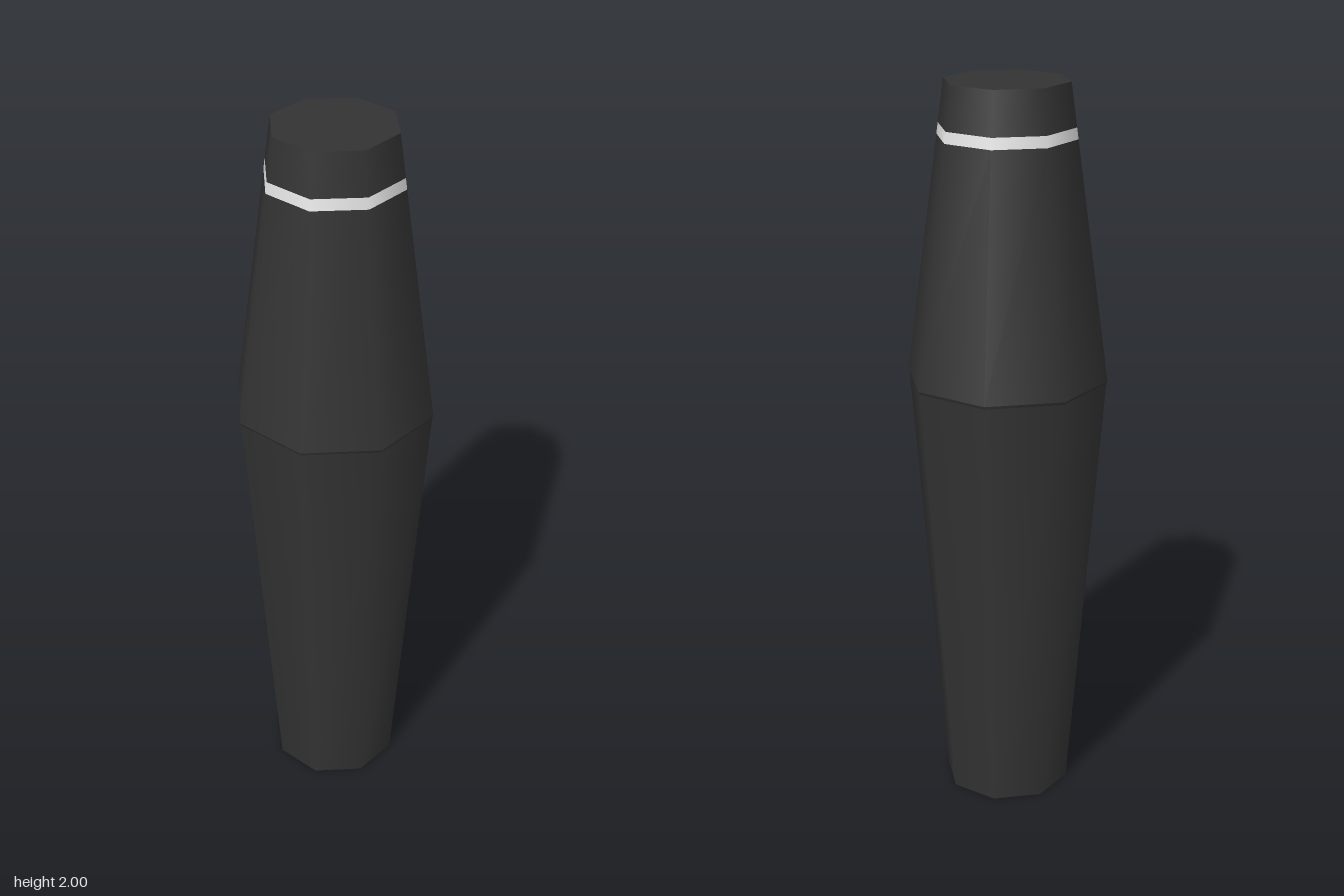
import * as THREE from 'three';

export function createModel() {
  const model = new THREE.Group();
  const black = new THREE.MeshStandardMaterial({ color: 0x333333 });
  black.name = 'black';
  const white = new THREE.MeshStandardMaterial({ color: 0xf0f0f0 });
  white.name = 'white';

  // Eight-sided tapered section between two [radius, height] rings
  function section(name, [r0, y0], [r1, y1], material, open = true) {
    const geometry = new THREE.CylinderGeometry(r1, r0, y1 - y0, 8, 1, open);
    const mesh = new THREE.Mesh(geometry, material);
    mesh.name = name;
    mesh.position.y = (y0 + y1) / 2;
    model.add(mesh);
  }

  // The upper taper is one straight slope, cut where the band sits
  const rim = [0.274, 1.213];
  const top = [0.167, 2];
  const onTaper = (y) => [
    THREE.MathUtils.mapLinear(y, rim[1], top[1], rim[0], top[0]), y,
  ];
  const bandBottom = onTaper(1.855);
  const bandTop = onTaper(1.885);
  const shoulder = [0.271, 1.205];

  section('lowerBody', [0.175, 0], shoulder, black, false);
  section('seam', shoulder, rim, black);
  section('upperBody', rim, bandBottom, black);
  section('band', bandBottom, bandTop, white);
  section('cap', bandTop, top, black, false);

  return model;
}
